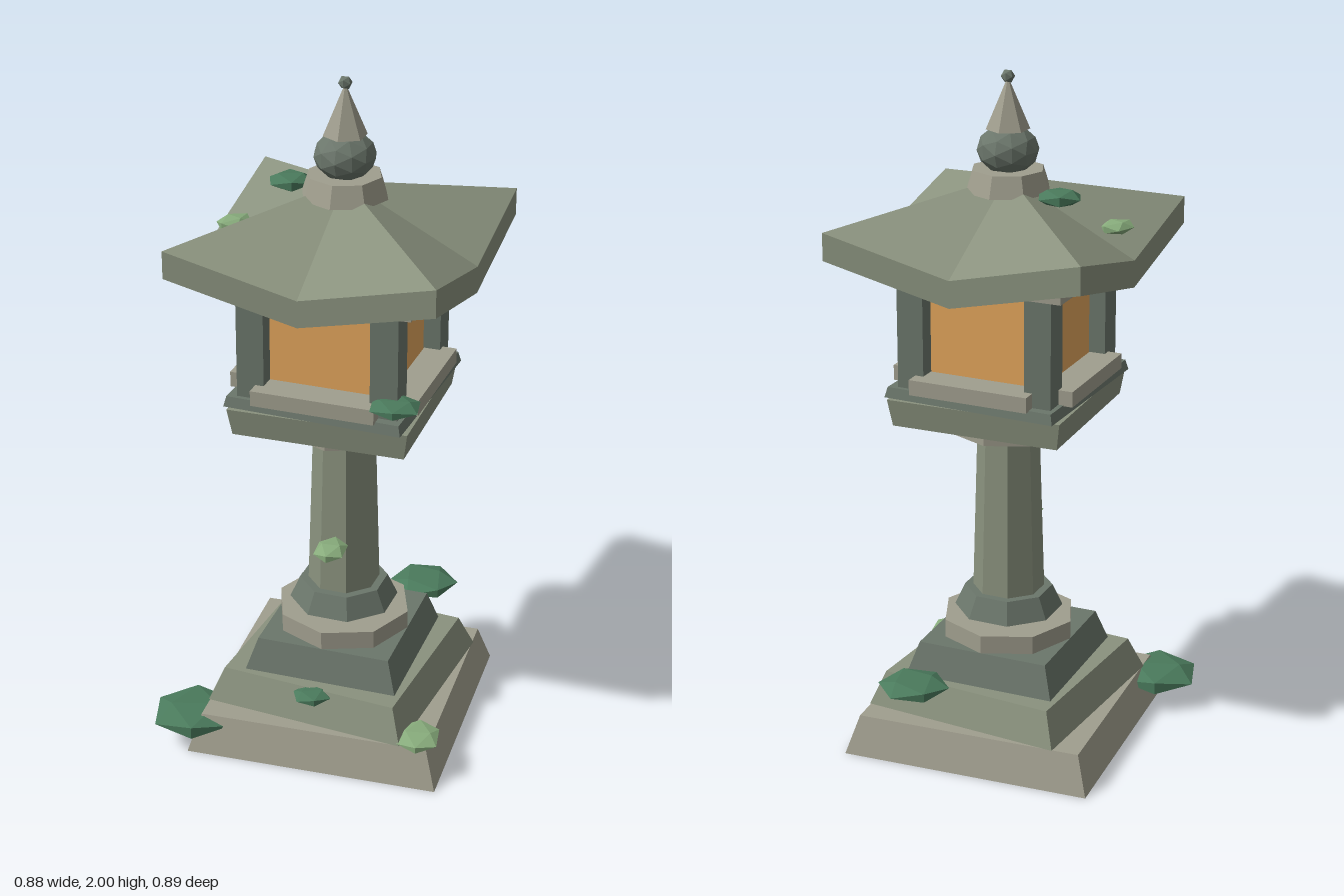
import * as THREE from 'three';

const CX = 0.038, CZ = 0.008; // lantern axis
const mat = (color) => new THREE.MeshStandardMaterial({ color, flatShading: true });
const light = mat(0xa09e8e), stone = mat(0x8a927e), dark = mat(0x6b766b);
const glow = mat(0xe2a55c), moss = mat(0x4a7a5c), paleMoss = mat(0x88ac7c);

export function createModel() {
  const model = new THREE.Group();
  const lantern = new THREE.Group();
  lantern.name = 'lantern';
  lantern.position.set(CX, 0, CZ);
  model.add(lantern);

  const add = (name, geometry, material, x = 0, y = 0, z = 0, rotY = 0, parent = lantern) => {
    const mesh = new THREE.Mesh(geometry, material);
    mesh.name = name;
    mesh.position.set(x, y, z);
    mesh.rotation.y = rotY;
    parent.add(mesh);
    return mesh;
  };
  // Tapered prism between two heights, given by corner radii
  const prism = (name, sides, rBottom, rTop, y0, y1, material, rotY = 0) =>
    add(name, new THREE.CylinderGeometry(rTop, rBottom, y1 - y0, sides), material, 0, (y0 + y1) / 2, 0, rotY);
  // Tapered square block, given by half widths
  const block = (name, hBottom, hTop, y0, y1, material, rotY = 0) =>
    prism(name, 4, hBottom * Math.SQRT2, hTop * Math.SQRT2, y0, y1, material, Math.PI / 4 + rotY);

  // Stepped base, each step turned a little
  block('baseSlab', 0.375, 0.34, 0, 0.115, light, 0.066);
  block('middleStep', 0.305, 0.268, 0.115, 0.215, stone, -0.07);
  block('upperStep', 0.23, 0.2, 0.215, 0.31, dark, 0.02);

  // Column with collars
  const flat = Math.PI / 8;
  prism('baseCollar', 8, 0.2, 0.2, 0.31, 0.365, light);
  prism('columnFoot', 8, 0.16, 0.13, 0.385, 0.45, dark, flat);
  prism('column', 8, 0.108, 0.09, 0.36, 0.96, stone, flat);
  prism('columnCapital', 8, 0.17, 0.17, 0.95, 1.005, light);

  // Platform of the light chamber
  block('platform', 0.25, 0.262, 1.005, 1.085, stone, 0.03);
  block('platformTop', 0.262, 0.255, 1.085, 1.115, dark, -0.03);

  // Light chamber: glowing core, corner posts, sills and top frame
  add('glowingPanels', new THREE.BoxGeometry(0.37, 0.36, 0.37), glow, 0, 1.29, 0);
  for (const sx of [-1, 1]) for (const sz of [-1, 1])
    add('cornerPost', new THREE.BoxGeometry(0.08, 0.35, 0.08), dark, sx * 0.195, 1.285, sz * 0.195);
  for (let i = 0; i < 4; i++) {
    const a = i * Math.PI / 2;
    add('sill', new THREE.BoxGeometry(0.36, 0.045, 0.09), light, Math.sin(a) * 0.232, 1.135, Math.cos(a) * 0.232, a);
    add('topBeam', new THREE.BoxGeometry(0.57, 0.05, 0.08), light, Math.sin(a) * 0.245, 1.465, Math.cos(a) * 0.245, a);
  }

  // Roof with upswept corners
  add('roof', roofGeometry(0.383, 1.7, 1.6), stone);

  // Finial
  prism('finialCollar', 8, 0.125, 0.105, 1.66, 1.722, light);
  add('finialBulb', new THREE.IcosahedronGeometry(0.088, 1), dark, 0, 1.775, 0).scale.y = 0.8;
  prism('finialSpire', 6, 0.062, 0.006, 1.832, 1.965, light);
  add('finialTip', new THREE.IcosahedronGeometry(0.02, 0), dark, 0, 1.98, 0);

  // Moss clumps: x, y, z, half sizes, turn, material
  const clumps = [
    [-0.32, 0.085, 0.325, 0.13, 0.035, 0.135, 0.3, moss],
    [0.175, 0.253, -0.355, 0.105, 0.025, 0.105, 0.8, moss],
    [-0.135, 1.665, -0.03, 0.067, 0.025, 0.064, 0.4, moss],
    [-0.26, 1.567, 0.083, 0.045, 0.02, 0.06, -0.4, paleMoss],
    [0.268, 1.162, 0.25, 0.077, 0.02, 0.075, 0.2, moss],
    [0.05, 0.622, 0.16, 0.05, 0.02, 0.07, 0.1, paleMoss],
    [0.038, 0.202, 0.29, 0.058, 0.018, 0.055, 0.5, moss],
    [0.36, 0.122, 0.277, 0.068, 0.018, 0.085, 0.2, paleMoss],
  ];
  for (const [x, y, z, sx, sy, sz, turn, material] of clumps)
    add('mossClump', new THREE.IcosahedronGeometry(1, 0), material, x, y, z, turn, model).scale.set(sx, sy, sz);

  return model;
}

// Square hip roof: eaves dip at the middle of each side and rise at the corners
function roofGeometry(half, topY, underY) {
  const ring = (yMid, yCorner) => Array.from({ length: 8 }, (_, i) => {
    const a = i * Math.PI / 4, corner = i % 2;
    const r = corner ? half * Math.SQRT2 : half;
    return [Math.sin(a) * r, corner ? yCorner : yMid, Math.cos(a) * r];
  });
  const upper = ring(1.5, 1.588), lower = ring(1.422, 1.508);
  const apex = [0, topY, 0], under = [0, underY, 0];
  const points = [];
  for (let i = 0; i < 8; i++) {
    const j = (i + 1) % 8;
    points.push(upper[i], upper[j], apex);
    points.push(lower[i], lower[j], upper[j], lower[i], upper[j], upper[i]);
    points.push(lower[j], lower[i], under);
  }
  const geometry = new THREE.BufferGeometry();
  geometry.setAttribute('position', new THREE.Float32BufferAttribute(points.flat(), 3));
  geometry.computeVertexNormals();
  return geometry;
}
